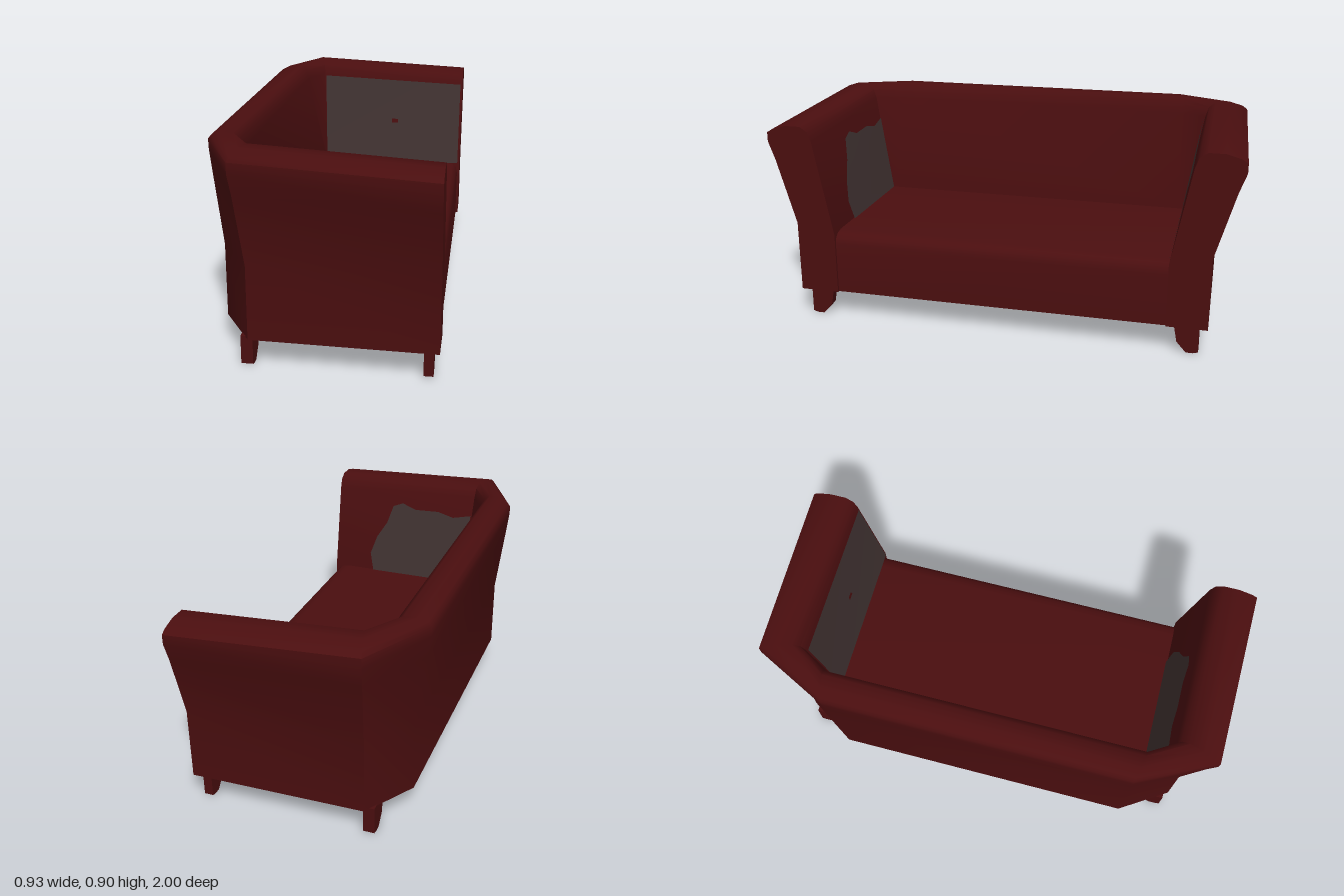
import * as THREE from 'three';
import { toCreasedNormals } from 'three/addons/utils/BufferGeometryUtils.js';

// Wall section: [spread at the arms, spread at the back, height]
// spread 0 = inner foot of the wall, 1 = outer foot, more = outward flare
const SECTION = [
  [0, 0, 0.12], [0, 0, 0.39], [0.47, 0.5, 0.80], [0.56, 0.56, 0.84], [0.75, 0.7, 0.862],
  [1.15, 1.02, 0.862], [1.5, 1.22, 0.845], [1.64, 1.29, 0.83], [1.64, 1.28, 0.79],
  [1.47, 1.22, 0.71], [1, 1, 0.43], [1, 1, 0.12],
];

// Stations along the U, from an arm front to the back: inner foot, outer foot, crest rise
const HALF = [
  { inner: [0.46, 0.72], outer: [0.46, 0.89], rise: 0, back: 0 },
  { inner: [-0.24, 0.72], outer: [-0.285, 0.875], rise: 0.038, back: 0 },
  { inner: [-0.24, 0.70], outer: [-0.42, 0.665], rise: 0.033, back: 1 },
];

function wallGeometry() {
  const mirrored = HALF.map((s) => ({
    ...s, inner: [s.inner[0], -s.inner[1]], outer: [s.outer[0], -s.outer[1]],
  })).reverse();
  const stations = [...HALF, ...mirrored];
  const n = SECTION.length;
  const pos = [];
  const index = [];
  for (const s of stations) {
    for (const p of SECTION) {
      const f = p[s.back];
      const lift = s.rise * Math.max(0, (p[2] - 0.43) / 0.43);
      pos.push(
        s.inner[0] + (s.outer[0] - s.inner[0]) * f,
        p[2] + lift,
        s.inner[1] + (s.outer[1] - s.inner[1]) * f,
      );
    }
  }
  for (let s = 0; s < stations.length - 1; s++) {
    for (let i = 0; i < n; i++) {
      const j = (i + 1) % n;
      const a = s * n + i, b = s * n + j, c = a + n, d = b + n;
      index.push(a, c, b, b, c, d);
    }
  }
  // Flat arm fronts
  const flat = SECTION.map((p) => new THREE.Vector2(p[0], p[2]));
  const last = (stations.length - 1) * n;
  for (const [a, b, c] of THREE.ShapeUtils.triangulateShape(flat, [])) {
    const ccw = THREE.ShapeUtils.area([flat[a], flat[b], flat[c]]) > 0;
    const [q, r] = ccw ? [c, b] : [b, c];
    index.push(a, q, r, last + a, last + r, last + q);
  }
  const g = new THREE.BufferGeometry();
  g.setAttribute('position', new THREE.Float32BufferAttribute(pos, 3));
  g.setIndex(index);
  return toCreasedNormals(g, 0.9);
}

// Shape from points, extruded along z and centred on z = 0
function extrude(points, depth) {
  const shape = new THREE.Shape(points.map((p) => new THREE.Vector2(...p)));
  const g = new THREE.ExtrudeGeometry(shape, { depth, bevelEnabled: false });
  return g.translate(0, 0, -depth / 2);
}

// Thin lining laid just in front of the sloping inner face of an arm
function liningGeometry(points, side) {
  const shape = new THREE.Shape(points.map((p) => new THREE.Vector2(...p)));
  const g = new THREE.ShapeGeometry(shape);
  const p = g.attributes.position;
  for (let i = 0; i < p.count; i++) {
    const slope = THREE.MathUtils.mapLinear(p.getX(i), -0.25, 0.46, 0.165, 0.195);
    p.setZ(i, side * (0.714 + slope * (p.getY(i) - 0.39)));
  }
  g.computeVertexNormals();
  return g;
}

export function createModel() {
  const red = new THREE.MeshStandardMaterial({ color: 0x4a0e0f });
  red.name = 'dark red upholstery';
  const grey = new THREE.MeshStandardMaterial({ color: 0x403231, side: THREE.DoubleSide });
  grey.name = 'grey lining';

  const sofa = new THREE.Group();
  sofa.name = 'sofa';
  const add = (name, geometry, material) => {
    const mesh = new THREE.Mesh(geometry, material);
    mesh.name = name;
    sofa.add(mesh);
    return mesh;
  };

  add('backAndArms', wallGeometry(), red);

  // Seat block with a softened front edge
  const seat = extrude([
    [-0.26, 0.12], [0.45, 0.12], [0.45, 0.34], [0.443, 0.37], [0.425, 0.386],
    [0.39, 0.393], [-0.26, 0.393],
  ], 1.45);
  add('seat', toCreasedNormals(seat, 0.7), red);

  // Arm linings: a full panel on one arm, an irregular patch on the other
  add('armPanel', liningGeometry([
    [-0.24, 0.393], [0.45, 0.393], [0.45, 0.795], [-0.255, 0.825],
  ], -1), grey);
  add('armPatch', liningGeometry([
    [-0.24, 0.393], [0.25, 0.393], [0.27, 0.48], [0.24, 0.57], [0.19, 0.65], [0.16, 0.74],
    [0.11, 0.76], [0.04, 0.735], [-0.08, 0.74], [-0.16, 0.72], [-0.25, 0.74],
  ], 1), grey);

  // Legs curving in towards the floor
  const legSide = [[0.855, 0.125], [0.75, 0.125], [0.765, 0.045], [0.805, 0], [0.835, 0], [0.855, 0.006]];
  for (const [name, x, width] of [['frontLeg', 0.417, 0.038], ['rearLeg', -0.295, 0.048]]) {
    for (const side of [1, -1]) {
      const g = extrude(legSide.map(([z, y]) => [-side * z, y]), width);
      add(name, g.rotateY(Math.PI / 2).translate(x, 0, 0), red);
    }
  }
  return sofa;
}
